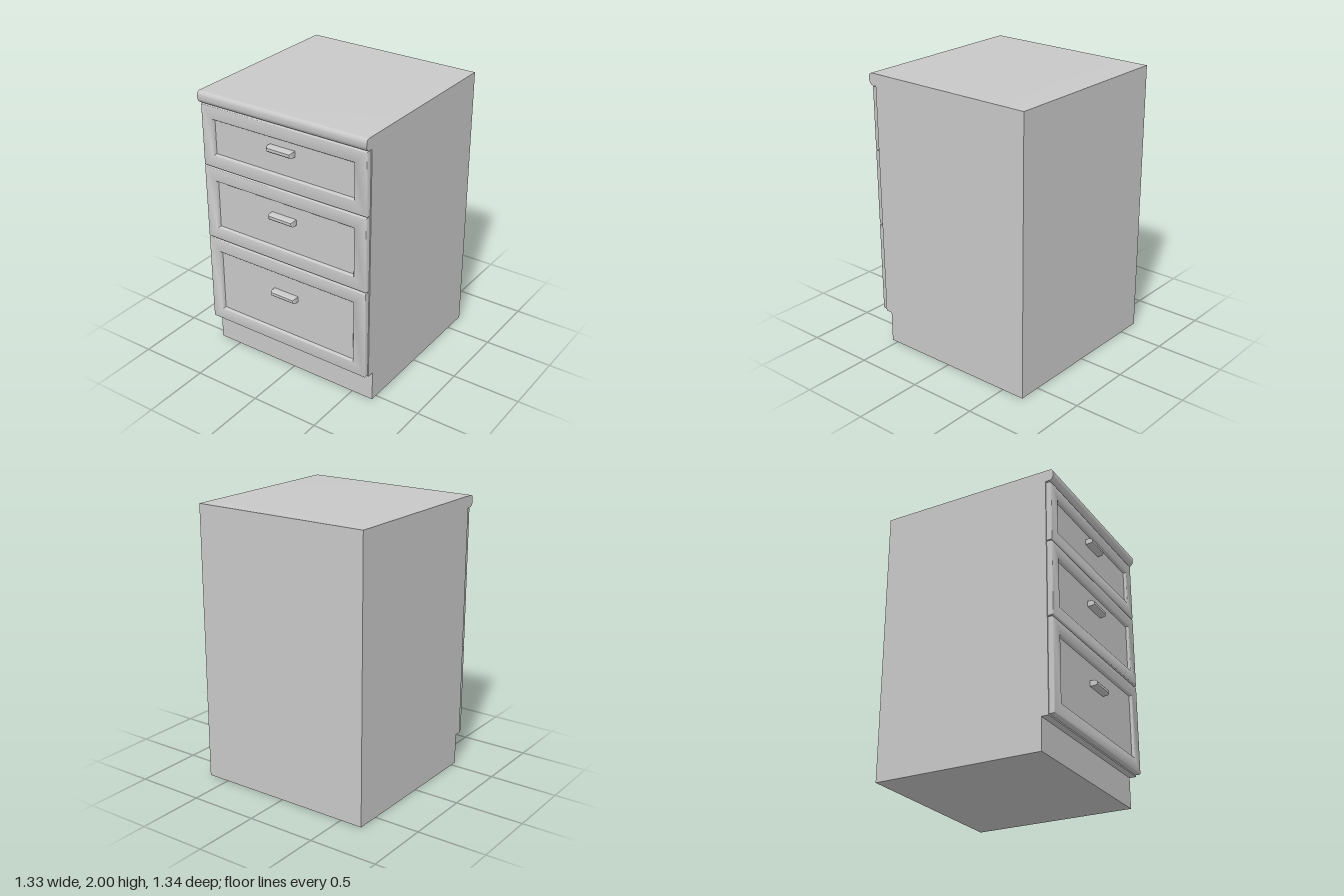
import * as THREE from 'three';
import { toCreasedNormals } from 'three/addons/utils/BufferGeometryUtils.js';

const WIDTH = 1.33;
const grey = new THREE.MeshStandardMaterial({ color: 0xc8c8c8 });
grey.name = 'light grey';

function addMesh(parent, name, geometry) {
  const mesh = new THREE.Mesh(toCreasedNormals(geometry, 0.7), grey);
  mesh.name = name;
  parent.add(mesh);
  return mesh;
}

// Side profile in (z, y), swept across the full width
function sweepAcross(shape) {
  const geo = new THREE.ExtrudeGeometry(shape, { depth: WIDTH, bevelEnabled: false, curveSegments: 8 });
  return geo.rotateY(-Math.PI / 2).translate(WIDTH / 2, 0, 0);
}

// Concentric rectangles [inset, z] joined from back to front, closed at both ends
function steppedPanel(w, h, rings) {
  const points = [];
  const index = [];
  for (const [inset, z] of rings) {
    const x = w / 2 - inset;
    const y = h / 2 - inset;
    points.push(-x, -y, z, x, -y, z, x, y, z, -x, y, z);
  }
  for (let r = 0; r < rings.length - 1; r++) {
    for (let i = 0; i < 4; i++) {
      const a = r * 4 + i;
      const b = r * 4 + (i + 1) % 4;
      index.push(a, b, b + 4, a, b + 4, a + 4);
    }
  }
  const n = (rings.length - 1) * 4;
  index.push(0, 2, 1, 0, 3, 2, n, n + 1, n + 2, n, n + 2, n + 3);
  const geo = new THREE.BufferGeometry();
  geo.setAttribute('position', new THREE.Float32BufferAttribute(points, 3));
  geo.setIndex(index);
  return geo;
}

export function createModel() {
  const cabinet = new THREE.Group();
  cabinet.name = 'drawerCabinet';

  // Carcass with a set-back plinth
  const body = new THREE.Shape();
  body.moveTo(-0.67, 0);
  body.lineTo(0.55, 0);
  body.lineTo(0.55, 0.225);
  body.lineTo(0.6, 0.225);
  body.lineTo(0.6, 1.915);
  body.lineTo(-0.67, 1.915);
  body.closePath();
  addMesh(cabinet, 'carcass', sweepAcross(body));

  // Worktop with a rounded front edge
  const top = new THREE.Shape();
  top.moveTo(-0.67, 1.915);
  top.lineTo(0.635, 1.915);
  top.quadraticCurveTo(0.65, 1.92, 0.66, 1.945);
  top.lineTo(0.66, 1.972);
  top.quadraticCurveTo(0.658, 2, 0.63, 2);
  top.lineTo(-0.67, 2);
  top.closePath();
  addMesh(cabinet, 'worktop', sweepAcross(top));

  // Drawers: softened outer edge, frame, and recessed panel
  const frontRings = [
    [0, 0.598], [0, 0.631], [0.003, 0.637], [0.009, 0.64],
    [0.09, 0.64], [0.094, 0.637], [0.097, 0.63], [0.101, 0.62],
  ];
  const handleRings = [[0, 0.615], [0, 0.655], [0.003, 0.664], [0.01, 0.67]];
  const drawers = [
    { bottom: 1.46, top: 1.908, handleY: 1.736 },
    { bottom: 0.906, top: 1.453, handleY: 1.242 },
    { bottom: 0.235, top: 0.897, handleY: 0.645 },
  ];
  drawers.forEach(({ bottom, top: upper, handleY }, i) => {
    const drawer = new THREE.Group();
    drawer.name = `drawer${i + 1}`;
    const front = addMesh(drawer, 'drawerFront', steppedPanel(1.316, upper - bottom, frontRings));
    front.position.y = (bottom + upper) / 2;
    const handle = addMesh(drawer, 'handle', steppedPanel(0.2, 0.04, handleRings));
    handle.position.y = handleY;
    cabinet.add(drawer);
  });

  return cabinet;
}
